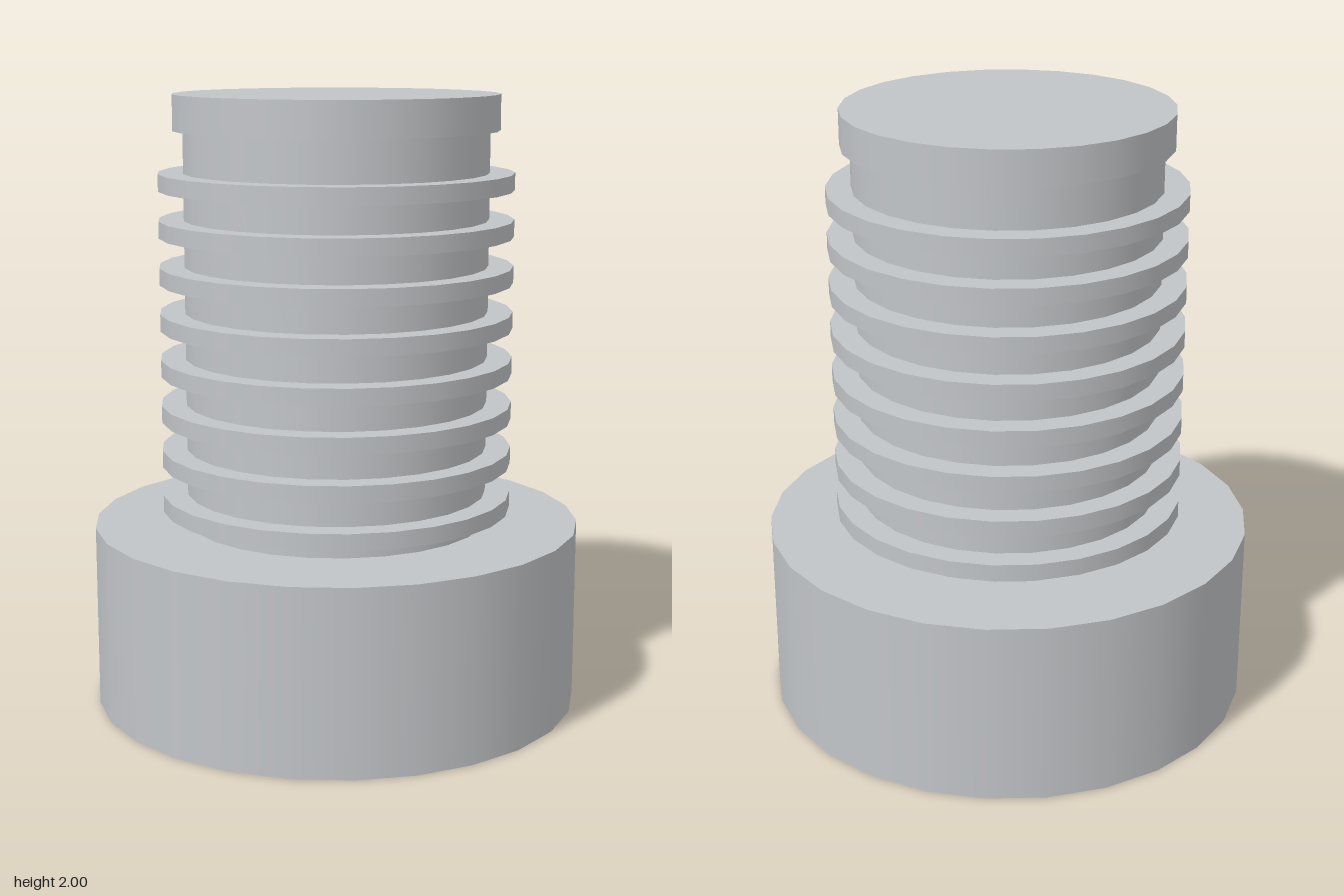
import * as THREE from 'three';
import { mergeGeometries } from 'three/addons/utils/BufferGeometryUtils.js';

const SIDES = 26, HOLE_SIDES = 26;
const HOLE_R = 0.15, HOLE_X = 0.4, HOLE_DEPTH = 0.3;

// Turned profile with sharp edges at every profile point, smooth around the axis.
function turned(points, sides) {
  const bands = [];
  for (let i = 0; i < points.length - 1; i++) {
    const pair = [points[i], points[i + 1]].map(([r, y]) => new THREE.Vector2(r, y));
    bands.push(new THREE.LatheGeometry(pair, sides, Math.PI / 2));
  }
  return mergeGeometries(bands);
}

// Regular polygon outline with corners on the x axis.
function polygon(r, sides, cx = 0) {
  return Array.from({ length: sides }, (_, i) => {
    const a = (i / sides) * Math.PI * 2;
    return new THREE.Vector2(cx + r * Math.cos(a), r * Math.sin(a));
  });
}

export function createModel() {
  const model = new THREE.Group();
  model.name = 'threadedBolt';
  const steel = new THREE.MeshStandardMaterial({ color: 0xc2c5c8 });
  steel.name = 'steel grey';

  const add = (name, geometry, x = 0) => {
    const mesh = new THREE.Mesh(geometry, steel);
    mesh.name = name;
    mesh.position.x = x;
    model.add(mesh);
  };

  // Wide head: side wall and upper shoulder
  add('head', turned([[0.8, 0], [0.8, 0.6], [0.495, 0.6]], SIDES));

  // Underside plate pierced by two spanner holes
  const underside = new THREE.Shape(polygon(0.8, SIDES));
  for (const s of [-1, 1]) {
    underside.holes.push(new THREE.Path(polygon(HOLE_R, HOLE_SIDES, s * HOLE_X)));
    // Blind hole: closed end, then the wall down to the opening
    add(s > 0 ? 'leftSpannerHole' : 'rightSpannerHole',
      turned([[0, HOLE_DEPTH], [HOLE_R, HOLE_DEPTH], [HOLE_R, 0]], HOLE_SIDES), s * HOLE_X);
  }
  add('headUnderside', new THREE.ShapeGeometry(underside).rotateX(Math.PI / 2));

  // Shaft core
  add('shaft', turned([[0.495, 0.6], [0.495, 1.885]], SIDES));

  // Eight evenly spaced thread ridges
  for (let i = 0; i < 8; i++) {
    const y = 0.645 + i * 0.15;
    add('threadRidge' + (i + 1),
      turned([[0.495, y], [0.576, y], [0.576, y + 0.055], [0.495, y + 0.055]], SIDES));
  }

  // End cap
  add('endCap', turned([[0.495, 1.885], [0.527, 1.885], [0.527, 2], [0, 2]], SIDES));

  return model;
}
